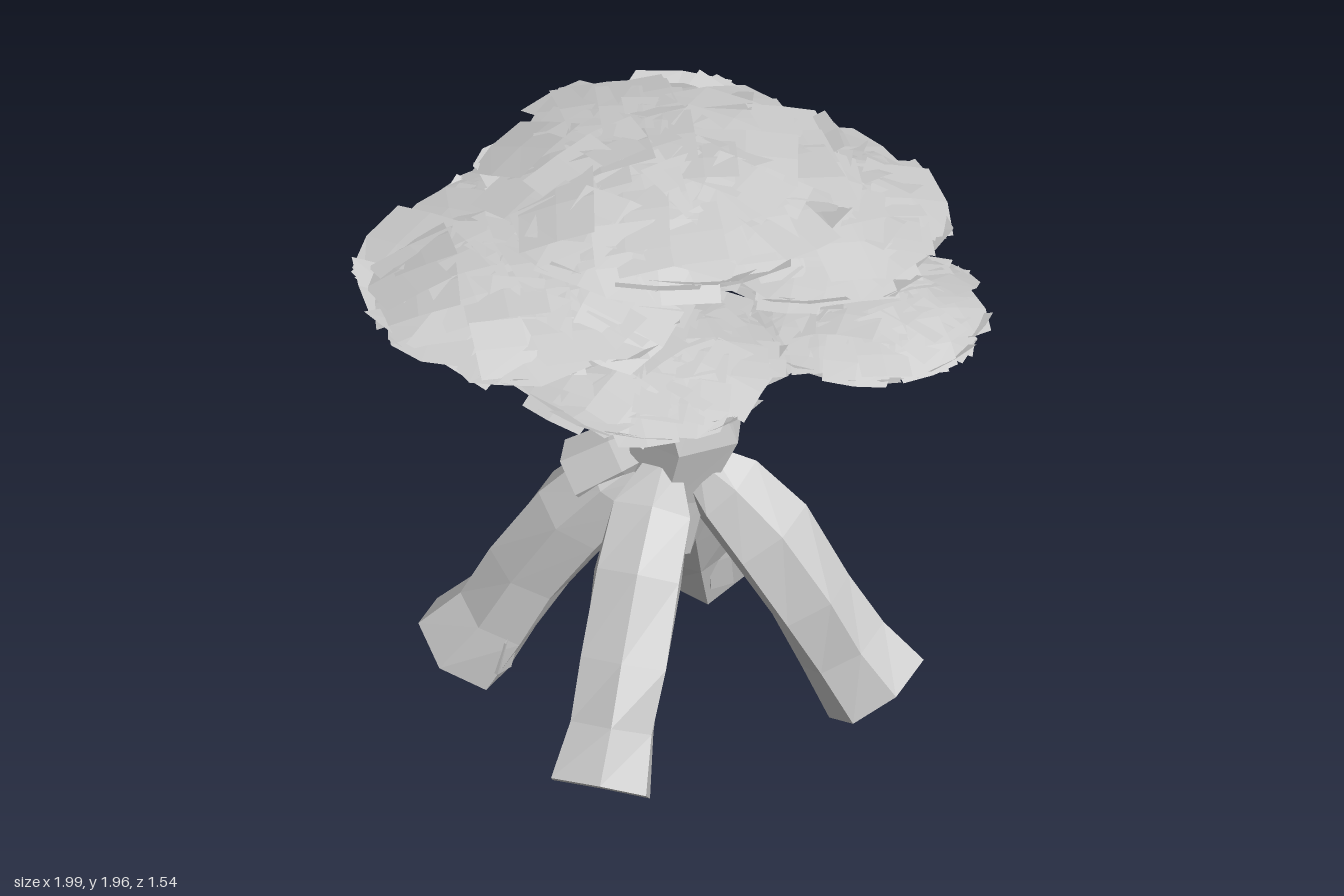
import * as THREE from 'three';

const grey = new THREE.MeshStandardMaterial({ color: 0xcccccc, flatShading: true, side: THREE.DoubleSide });
grey.name = 'pale grey';

// Small seeded generator returning values in -1..1
function seeded(seed) {
  let s = seed;
  return () => {
    s = (s * 16807) % 2147483647;
    return (s / 2147483647) * 2 - 1;
  };
}

function faceted(positions, index) {
  const g = new THREE.BufferGeometry();
  g.setAttribute('position', new THREE.Float32BufferAttribute(positions, 3));
  g.setIndex(index);
  const flat = g.toNonIndexed();
  flat.computeVertexNormals();
  return flat;
}

// Faceted limb: polygon rings set square to a path of [x, y, z, radius], closed at both ends
function limb(name, path, sides, twist = 0, jitter = 0, seed = 7) {
  const rnd = seeded(seed);
  const pts = path.map((p) => new THREE.Vector3(p[0], p[1], p[2]));
  const last = pts.length - 1;
  const span = pts[last].clone().sub(pts[0]);
  const ref = new THREE.Vector3(-span.z, 0, span.x).normalize();
  const pos = [];
  const idx = [];
  pts.forEach((p, i) => {
    const t = pts[Math.min(i + 1, last)].clone().sub(pts[Math.max(i - 1, 0)]).normalize();
    const a = ref.clone().addScaledVector(t, -ref.dot(t)).normalize();
    const b = t.clone().cross(a);
    for (let j = 0; j < sides; j++) {
      const ang = (j / sides) * Math.PI * 2 + twist;
      const r = path[i][3] * (1 + jitter * rnd());
      const v = p.clone().addScaledVector(a, Math.cos(ang) * r).addScaledVector(b, Math.sin(ang) * r);
      pos.push(v.x, Math.max(v.y, 0), v.z);
    }
  });
  const base = pts.length * sides;
  pos.push(...pts[0].toArray(), ...pts[last].toArray());
  for (let j = 0; j < sides; j++) {
    const k = (j + 1) % sides;
    for (let i = 0; i < last; i++) {
      const [p, q, r, s] = [i * sides + j, i * sides + k, (i + 1) * sides + k, (i + 1) * sides + j];
      idx.push(p, q, r, p, r, s);
    }
    idx.push(base, k, j, base + 1, last * sides + j, last * sides + k);
  }
  const mesh = new THREE.Mesh(faceted(pos, idx), grey);
  mesh.name = name;
  return mesh;
}

// Overlapping bent leaf plates, spread from the inner radius to the rim of a dome or bowl
function leafPlates(name, rx, rz, count, size, height, inner, upward, rnd) {
  const pos = [];
  const idx = [];
  for (let n = 0; n < count; n++) {
    const share = (n + 0.5) / count;
    const rad = Math.sqrt(inner * inner + share * (0.83 * 0.83 - inner * inner)) + 0.03 * rnd();
    const ang = n * 2.39996 + rnd() * 0.25;
    const cx = Math.cos(ang) * rad;
    const cz = Math.sin(ang) * rad;
    const turn = ang + rnd() * 0.6;
    const w = size * (1 + 0.25 * rnd());
    const d = size * (1.15 + 0.35 * rnd());
    const lift = 0.01 * rnd();
    const tiltX = 0.12 * rnd();
    const tiltZ = 0.12 * rnd();
    const start = pos.length / 3;
    for (let i = -1; i <= 1; i++) {
      for (let j = -1; j <= 1; j++) {
        const u = (i * w) / 2;
        const v = (j * d) / 2;
        let x = cx + u * Math.cos(turn) - v * Math.sin(turn);
        let z = cz + u * Math.sin(turn) + v * Math.cos(turn);
        const len = Math.hypot(x, z);
        const limit = Math.min(1, 1.06 / len);
        x *= limit;
        z *= limit;
        const shape = 1 - Math.pow(len * limit, upward ? 1.8 : 3);
        pos.push(x * rx, height * shape + lift + (u * tiltX + v * tiltZ) * rx, z * rz);
      }
    }
    for (let i = 0; i < 2; i++) {
      for (let j = 0; j < 2; j++) {
        const a = start + i * 3 + j;
        if (upward) idx.push(a, a + 1, a + 4, a, a + 4, a + 3);
        else idx.push(a, a + 4, a + 1, a, a + 3, a + 4);
      }
    }
  }
  const mesh = new THREE.Mesh(faceted(pos, idx), grey);
  mesh.name = name;
  return mesh;
}

// Leaf pad: ragged dome of plates with an upturned ring of plates below, hollow in the middle
function leafPad(name, [x, y, z], rx, rz, top, bottom, seed) {
  const rnd = seeded(seed);
  const pad = new THREE.Group();
  pad.name = name;
  pad.add(
    leafPlates('upperLeaves', rx, rz, 58, 0.48, top, 0, true, rnd),
    leafPlates('lowerLeaves', rx, rz, 36, 0.44, -bottom, 0.55, false, rnd),
  );
  pad.position.set(x, y, z);
  return pad;
}

export function createModel() {
  const tree = new THREE.Group();
  tree.name = 'tree';

  // Crooked trunk with a blunt stub between the roots
  tree.add(limb('trunk', [
    [-0.02, 0.55, 0.02, 0.1], [0, 0.75, 0.02, 0.13], [0.05, 0.96, 0.03, 0.185],
    [0.0, 1.17, 0.01, 0.155], [-0.13, 1.29, -0.01, 0.125], [-0.15, 1.42, 0, 0.105], [-0.14, 1.5, 0, 0.09],
  ], 6, 0.52, 0.05, 11));

  // Four stilt roots with angled ends and a small spur low on each
  const feet = [[0.44, 0.46, 'FrontLeft'], [-0.52, 0.44, 'FrontRight'], [0.4, -0.41, 'BackLeft'], [-0.46, -0.4, 'BackRight']];
  feet.forEach(([fx, fz, side], n) => {
    const at = (k, y, r) => [fx * k, y, fz * k + 0.02 * (1 - k), r];
    tree.add(limb('root' + side, [
      at(0.1, 0.85, 0.07), at(0.26, 0.76, 0.125), at(0.46, 0.62, 0.145), at(0.68, 0.41, 0.14), at(0.83, 0.24, 0.14), at(1, 0.095, 0.165),
    ], 6, 0.3, 0.09, 31 + n * 17));
    const sx = fx - Math.sign(fx) * 0.03;
    const sz = fz - Math.sign(fz) * 0.13;
    tree.add(limb('spur' + side, [
      [sx * 0.8, 0.35, sz * 0.85, 0.012], [sx * 0.95, 0.2, sz * 0.95, 0.05], [sx, 0.09, sz, 0.05],
    ], 4));
  });

  // Bark shoulder where the back right root leaves the trunk
  tree.add(limb('barkShoulder', [[0.0, 0.92, 0, 0.08], [-0.1, 0.85, -0.07, 0.1], [-0.2, 0.76, -0.16, 0.11]], 6));

  // Leaf pads
  const pads = [
    ['topPad', [0, 1.825, 0], 0.55, 0.55, 0.11, 0.09],
    ['rightPad', [-0.49, 1.64, -0.02], 0.48, 0.5, 0.095, 0.07],
    ['leftPad', [0.42, 1.58, 0.04], 0.43, 0.5, 0.095, 0.07],
    ['frontPad', [-0.29, 1.495, 0.33], 0.4, 0.41, 0.075, 0.075],
    ['backPad', [-0.15, 1.495, -0.34], 0.43, 0.41, 0.075, 0.075],
    ['lowPad', [0.61, 1.205, 0.14], 0.36, 0.36, 0.08, 0.055],
  ];
  pads.forEach(([name, c, rx, rz, top, bottom], n) => tree.add(leafPad(name, c, rx, rz, top, bottom, 101 + n * 977)));

  // Branches reaching from the trunk to the pads
  const branches = [
    ['topBranch', [[-0.14, 1.46, 0, 0.075], [-0.04, 1.6, 0, 0.05], [0.0, 1.76, 0.01, 0.035], [0.04, 1.87, 0.02, 0.02]]],
    ['rightBranch', [[-0.15, 1.45, 0, 0.06], [-0.28, 1.56, -0.01, 0.04], [-0.5, 1.66, -0.03, 0.02]]],
    ['leftBranch', [[-0.13, 1.45, 0, 0.06], [0.08, 1.51, 0.03, 0.04], [0.42, 1.6, 0.06, 0.02]]],
    ['frontBranch', [[-0.15, 1.41, 0.02, 0.05], [-0.2, 1.45, 0.15, 0.035], [-0.29, 1.5, 0.34, 0.02]]],
    ['backBranch', [[-0.15, 1.41, -0.02, 0.05], [-0.15, 1.45, -0.16, 0.035], [-0.14, 1.5, -0.35, 0.02]]],
    ['lowBranch', [[0.08, 1.06, 0.07, 0.045], [0.22, 1.1, 0.09, 0.04], [0.38, 1.16, 0.12, 0.033], [0.6, 1.23, 0.14, 0.02]]],
  ];
  branches.forEach(([name, path]) => tree.add(limb(name, path, 5)));

  // Forked twigs inside the upper pads
  pads.slice(1, 5).forEach(([, [x, y, z], rx, rz], n) => {
    for (const s of [-1, 1]) {
      const ex = x + (n < 2 ? 0.12 * Math.sign(x) : s * rx * 0.5);
      const ez = z + (n < 2 ? s * rz * 0.5 : 0.1 * Math.sign(z));
      tree.add(limb('twig', [[x * 0.8 - 0.03, y - 0.03, z * 0.6, 0.022], [ex, y + 0.02, ez, 0.012]], 4));
    }
  });

  return tree;
}
